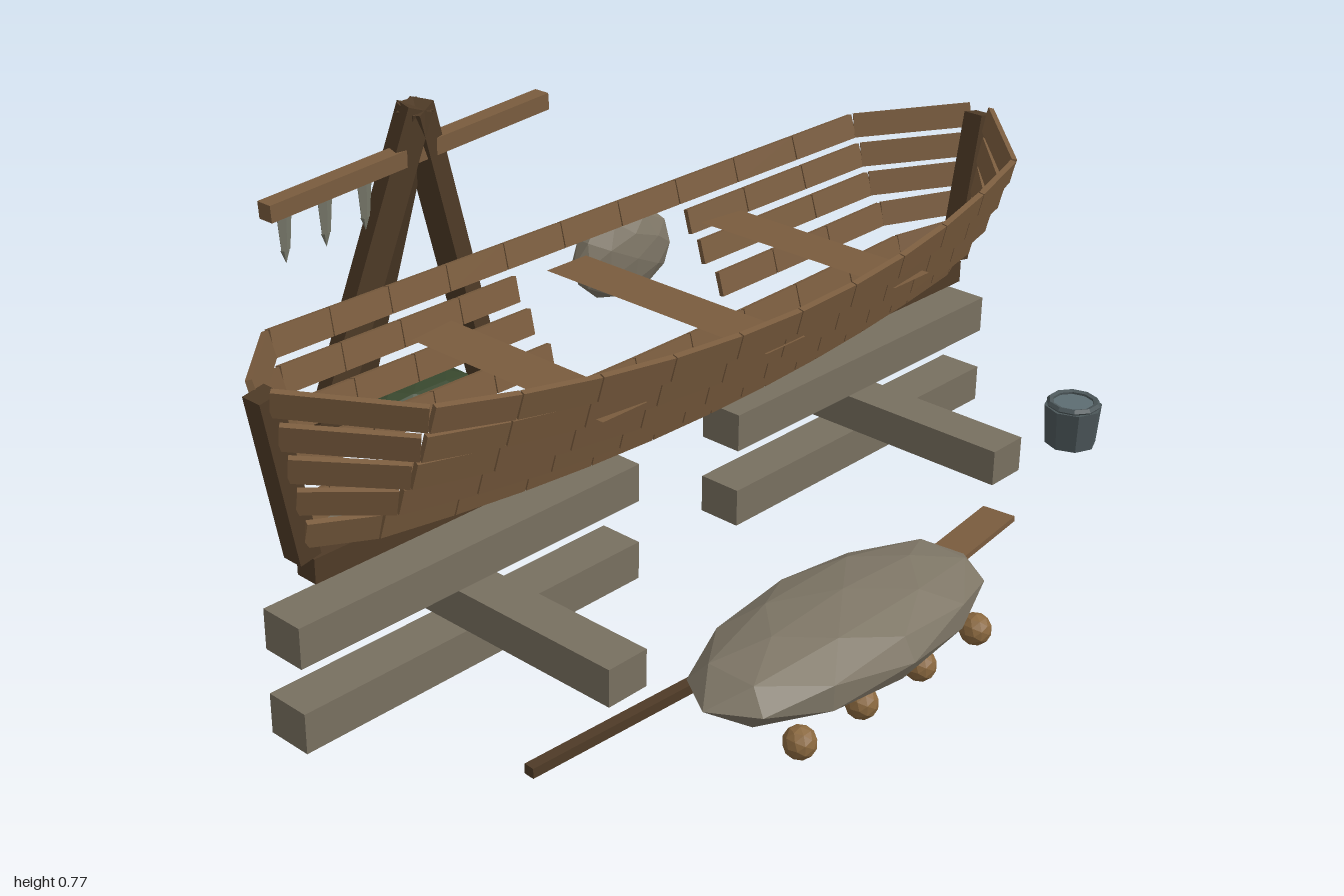
import * as THREE from 'three';

const mat = (name, color, side = THREE.FrontSide) => {
  const m = new THREE.MeshStandardMaterial({ color, side, flatShading: true });
  m.name = name;
  return m;
};

export function createModel() {
  const root = new THREE.Group();
  root.name = 'boatyard';
  const plankWood = mat('plank wood', 0x7a5c3e, THREE.DoubleSide);
  const darkWood = mat('dark wood', 0x4f3b27);
  const timber = mat('weathered timber', 0x787060);
  const canvas = mat('canvas', 0x7e7666);
  const floatWood = mat('float wood', 0x8a683f);
  const rope = mat('rope', 0x5c432b);
  const metal = mat('bucket metal', 0x4c575a);
  const water = mat('water', 0x5d6d72);
  const green = mat('green cloth', 0x36452c);
  const fishGrey = mat('dried fish', 0x77786a);
  const V = (x, y, z) => new THREE.Vector3(x, y, z);
  const CZ = 0.145; // hull centreline

  const add = (name, geo, m, x, y, z, parent = root) => {
    const mesh = new THREE.Mesh(geo, m);
    mesh.name = name;
    mesh.position.set(x, y, z);
    parent.add(mesh);
    return mesh;
  };
  const group = (name) => {
    const g = new THREE.Group();
    g.name = name;
    root.add(g);
    return g;
  };
  // Box running from a to b, w wide and h high
  const beam = (name, a, b, w, h, m, parent = root, stretch = 1) => {
    const geo = new THREE.BoxGeometry(w, h, a.distanceTo(b) * stretch);
    const mesh = add(name, geo, m, 0, 0, 0, parent);
    mesh.position.copy(a).lerp(b, 0.5);
    mesh.lookAt(b);
    return mesh;
  };
  const blob = (name, m, x, y, z, rx, ry, rz) => {
    const mesh = add(name, new THREE.IcosahedronGeometry(1, 1), m, x, y, z);
    mesh.scale.set(rx, ry, rz);
    return mesh;
  };

  // Hull planking: five rows a side, flaring upward and rising to the ends
  const hull = group('hull');
  const midY = [0.37, 0.43, 0.487, 0.543, 0.6];
  const halfW = [0.1, 0.175, 0.23, 0.27, 0.305];
  const rowPoint = (row, i, side) => {
    const atStem = Math.abs(i) === 6;
    const x = atStem ? Math.sign(i) * (0.925 + row * 0.013) : i * 0.16;
    const y = midY[row] + (0.06 + row * 0.0065) * x * x;
    const half = atStem ? 0.02 : halfW[row] * (1 - 0.5 * x * x);
    return V(x, y, CZ + side * half);
  };
  for (const side of [1, -1]) {
    for (let row = 0; row < 5; row++) {
      for (let i = -6; i < 6; i++) {
        // broken opening in the back planking
        if (side < 0 && row > 0 && row < 4 && i >= -1 && i < 2) continue;
        const p = beam('plank', rowPoint(row, i, side), rowPoint(row, i + 1, side),
          0.012, 0.052, plankWood, hull, 0.98);
        p.rotateZ(side * 0.25);
      }
    }
  }

  // Keel and stems
  add('keel', new THREE.BoxGeometry(1.82, 0.048, 0.048), darkWood, 0, 0.345, CZ, hull);
  for (const s of [1, -1]) {
    beam('stem', V(s * 0.915, 0.37, CZ), V(s * 0.975, 0.69, CZ), 0.045, 0.045, darkWood, hull);
  }

  // Seats
  for (const [x, len] of [[-0.405, 0.53], [0, 0.57], [0.405, 0.53]]) {
    const seat = add('seat', new THREE.PlaneGeometry(0.11, len), plankWood, x, 0.545, 0.14, hull);
    seat.rotation.x = -Math.PI / 2;
  }

  // Two stacks of supporting timbers
  for (const s of [1, -1]) {
    const stack = group('supportStack');
    for (const y of [0.06, 0.23]) {
      add('longTimber', new THREE.BoxGeometry(0.825, 0.08, 0.095), timber, s * 0.557, y, CZ, stack);
    }
    add('crossTimber', new THREE.BoxGeometry(0.093, 0.075, 0.825), timber, s * 0.557, 0.145, 0.145, stack);
  }

  // Canvas bundle with a row of floats
  blob('canvasBundle', canvas, -0.155, 0.127, 0.7, 0.37, 0.082, 0.165);
  for (let i = 0; i < 4; i++) {
    add('float', new THREE.IcosahedronGeometry(0.031, 1), floatWood, -0.405 + i * 0.168, 0.062, 0.815);
  }

  // Oar
  beam('oarShaft', V(-0.76, 0.04, 0.522), V(0.26, 0.04, 0.573), 0.022, 0.02, darkWood);
  beam('oarBlade', V(0.225, 0.038, 0.602), V(0.53, 0.038, 0.566), 0.072, 0.012, plankWood);

  // Bucket
  const bucket = group('bucket');
  bucket.position.set(0.935, 0, 0.47);
  add('bucketBody', new THREE.CylinderGeometry(0.063, 0.056, 0.09, 8), metal, 0, 0.066, 0, bucket);
  add('bucketRim', new THREE.TorusGeometry(0.051, 0.008, 5, 10), metal, 0, 0.115, 0, bucket)
    .rotation.x = Math.PI / 2;
  add('waterSurface', new THREE.CylinderGeometry(0.046, 0.046, 0.006, 10), water, 0, 0.112, 0, bucket);

  // Rope coil of stacked, slightly turned rings
  const coil = group('ropeCoil');
  coil.position.set(0.835, 0, -0.235);
  for (let i = 0; i < 4; i++) {
    const ring = add('ropeRing', new THREE.TorusGeometry(0.132 - i * 0.008, 0.012, 5, 11), rope,
      0, 0.024 + i * 0.009, 0, coil);
    ring.rotation.set(Math.PI / 2, 0, i * 0.8);
  }

  // Fender hanging at the broken side
  blob('fender', canvas, 0.2, 0.5, -0.185, 0.13, 0.1, 0.052).rotation.y = -0.08;

  // Three-legged frame with a crossbar
  const frame = group('tripod');
  const apex = V(0, 0.77, -0.588);
  beam('rearLeg', V(0, 0.02, -0.838), apex, 0.056, 0.056, darkWood, frame);
  for (const s of [1, -1]) {
    beam('frontLeg', V(s * 0.25, 0.025, -0.662), apex, 0.058, 0.058, darkWood, frame);
  }
  beam('crossbar', V(-0.4, 0.645, -0.59), V(0.37, 0.697, -0.59), 0.04, 0.038, plankWood, frame);

  // Fish drying on the crossbar
  for (let i = 0; i < 3; i++) {
    const x = -0.355 + i * 0.105;
    const fish = add('fish', new THREE.CylinderGeometry(0.02, 0.012, 0.08, 5), fishGrey, x, 0.592 + i * 0.006, -0.59, frame);
    fish.scale.z = 0.5;
    const tip = add('fishTip', new THREE.ConeGeometry(0.012, 0.03, 5), fishGrey, x, 0.537 + i * 0.006, -0.59, frame);
    tip.rotation.x = Math.PI;
    tip.scale.z = 0.5;
  }

  // Green bundle under the frame
  blob('greenBundle', green, 0, 0.088, -0.615, 0.155, 0.05, 0.08);

  return root;
}
